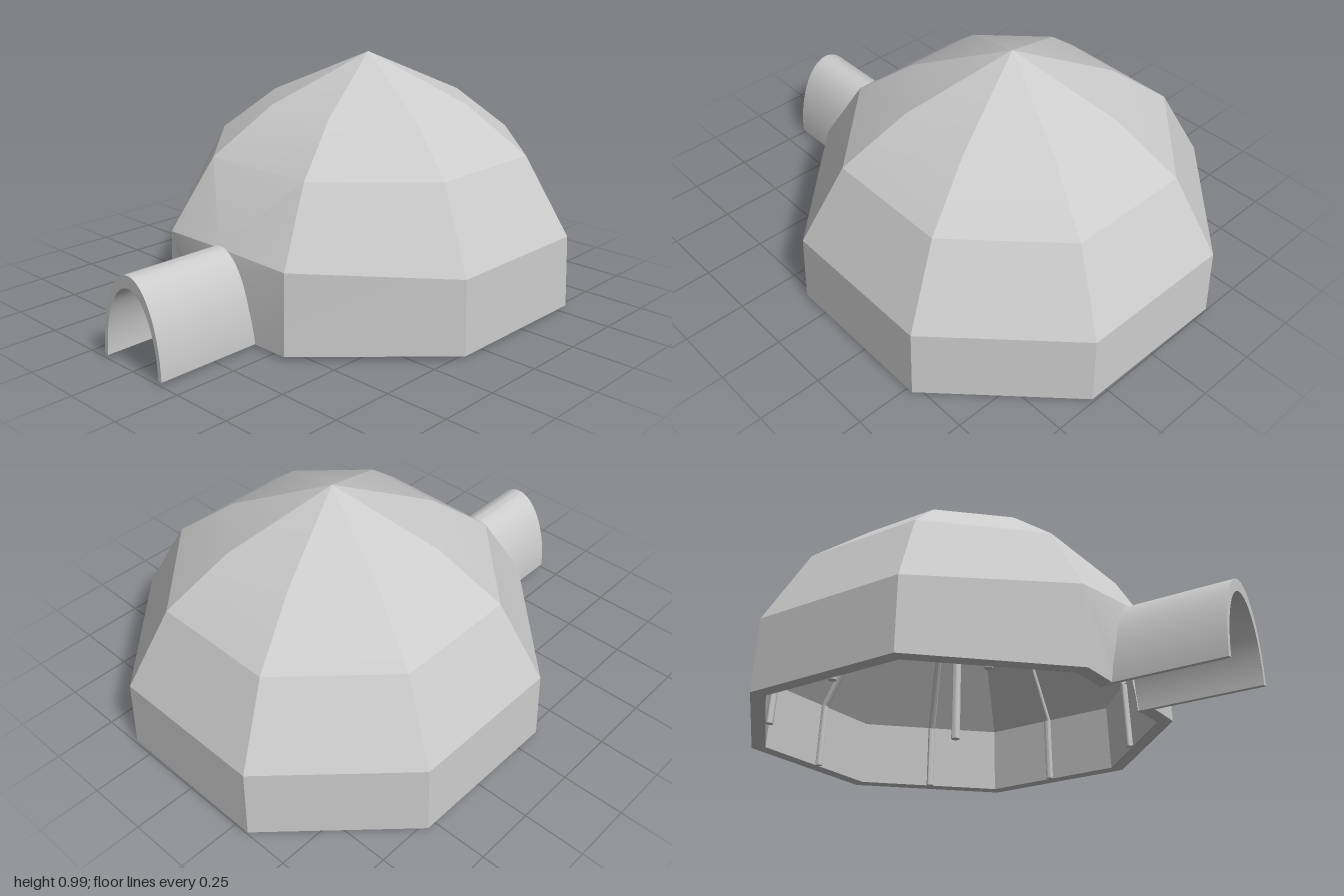
import * as THREE from 'three';
import { toCreasedNormals } from 'three/addons/utils/BufferGeometryUtils.js';

const SIDES = 8, CZ = -0.215, FLOOR = 0.015;

// profiles: [apothem, height], base to apex
const OUTER = [[0.785, FLOOR], [0.775, 0.305], [0.61, 0.615], [0.383, 0.8], [0, 0.985]];
const INNER = [[0.73, FLOOR], [0.716, 0.283], [0.548, 0.563], [0.333, 0.725], [0, 0.885]];

const V = (x, y, z) => new THREE.Vector3(x, y, z);

function named(geometry, name, side = THREE.FrontSide) {
  const mesh = new THREE.Mesh(geometry, new THREE.MeshStandardMaterial({ color: 0xcccccc, side }));
  mesh.name = name;
  return mesh;
}

// octagon corner k of a profile ring; the two front corners sit a little higher on the first ring
function corner(profile, ring, k) {
  const [apothem, y] = profile[ring];
  const r = apothem / Math.cos(Math.PI / SIDES);
  const a = ((k + 0.5) * 2 * Math.PI) / SIDES;
  const front = k === 0 || k === -1 || k === SIDES - 1;
  return V(r * Math.sin(a), y + (ring === 1 && front ? 0.027 : 0), r * Math.cos(a));
}

// doorway edge, from right foot over the top to left foot
function arch(halfWidth, height, zFoot, zTop, n) {
  return Array.from({ length: n + 1 }, (_, i) => {
    const a = (i / n) * Math.PI;
    const z = THREE.MathUtils.lerp(zFoot, zTop, Math.min(1, Math.sin(a) * 2.5));
    return V(halfWidth * Math.cos(a), FLOOR + height * Math.sin(a), z);
  });
}

// double-walled eight-sided dome with a doorway in its front panel
function domeGeometry() {
  const points = [];
  const tri = (a, b, c) => points.push(a, b, c);
  const quad = (a, b, c, d) => { tri(a, b, c); tri(a, c, d); };
  const n = 16;
  const outerArch = arch(0.163, 0.343, 0.787, 0.802, n);
  const innerArch = arch(0.147, 0.297, 0.73, 0.718, n);

  function skin(profile, door, flip) {
    const t = (a, b, c) => (flip ? tri(a, c, b) : tri(a, b, c));
    for (let k = 0; k < SIDES; k++) {
      for (let r = k === 0 ? 2 : 0; r < 4; r++) {
        const a = corner(profile, r, k - 1), b = corner(profile, r, k);
        const c = corner(profile, r + 1, k), d = corner(profile, r + 1, k - 1);
        t(a, b, c);
        if (r < 3) t(a, c, d);
      }
    }
    // front panel fanned around the doorway
    const [bl, br] = [corner(profile, 0, -1), corner(profile, 0, 0)];
    const [ml, mr] = [corner(profile, 1, -1), corner(profile, 1, 0)];
    const [tl, tr] = [corner(profile, 2, -1), corner(profile, 2, 0)];
    const top = door[n / 2];
    t(door[0], br, mr);
    t(bl, door[n], ml);
    for (let i = 0; i < n / 2; i++) {
      t(door[i], mr, door[i + 1]);
      t(door[n - i], door[n - i - 1], ml);
    }
    t(top, mr, tr);
    t(top, tr, tl);
    t(top, tl, ml);
  }
  skin(OUTER, outerArch, false);
  skin(INNER, innerArch, true);

  // bottom rim, open at the doorway
  for (let k = 1; k < SIDES; k++) {
    quad(corner(OUTER, 0, k), corner(OUTER, 0, k - 1), corner(INNER, 0, k - 1), corner(INNER, 0, k));
  }
  quad(corner(OUTER, 0, 0), outerArch[0], innerArch[0], corner(INNER, 0, 0));
  quad(outerArch[n], corner(OUTER, 0, -1), corner(INNER, 0, -1), innerArch[n]);

  return toCreasedNormals(new THREE.BufferGeometry().setFromPoints(points), 0.32);
}

// arched entrance tunnel, running through the thickness of the front wall
function tunnelGeometry() {
  const shape = new THREE.Shape();
  shape.moveTo(0.165, FLOOR);
  shape.absellipse(0, FLOOR, 0.165, 0.345, 0, Math.PI, false);
  shape.lineTo(-0.147, FLOOR);
  shape.absellipse(0, FLOOR, 0.147, 0.297, Math.PI, 0, true);
  shape.closePath();
  const geometry = new THREE.ExtrudeGeometry(shape, { depth: 0.49, bevelEnabled: false, curveSegments: 32 });
  geometry.translate(0, 0, 0.51);
  return toCreasedNormals(geometry, 0.6);
}

// straight rod between two points
function rod(a, b, radius, name) {
  const mesh = named(toCreasedNormals(new THREE.CylinderGeometry(radius, radius, a.distanceTo(b), 10), 0.8), name);
  mesh.position.copy(a).add(b).multiplyScalar(0.5);
  mesh.quaternion.setFromUnitVectors(V(0, 1, 0), b.clone().sub(a).normalize());
  return mesh;
}

export function createModel() {
  const model = new THREE.Group();
  model.name = 'domeTent';

  const dome = new THREE.Group();
  dome.name = 'dome';
  dome.position.z = CZ;
  dome.rotation.y = -0.007;
  dome.add(named(domeGeometry(), 'domeShell', THREE.DoubleSide));
  model.add(dome);

  // ribs down the middle of every panel; the front one stops above the doorway
  const full = [[0.716, 0.013], [0.703, 0.278], [0.535, 0.553], [0.323, 0.713], [0, 0.87]];
  const short = [[0.645, 0.375], ...full.slice(2)];
  for (let k = 0; k < SIDES; k++) {
    const rib = new THREE.Group();
    rib.name = 'rib' + (k + 1);
    const path = (k === 0 ? short : full).map(([r, y]) => V(0, y, r));
    for (let i = 0; i + 1 < path.length; i++) rib.add(rod(path[i], path[i + 1], 0.015, 'ribSegment'));
    rib.rotation.y = (k * 2 * Math.PI) / SIDES;
    dome.add(rib);
  }

  // pole under the apex
  dome.add(rod(V(0.005, 0, 0), V(0.005, 0.885, 0), 0.017, 'centrePole'));

  model.add(named(tunnelGeometry(), 'entranceTunnel'));
  return model;
}
